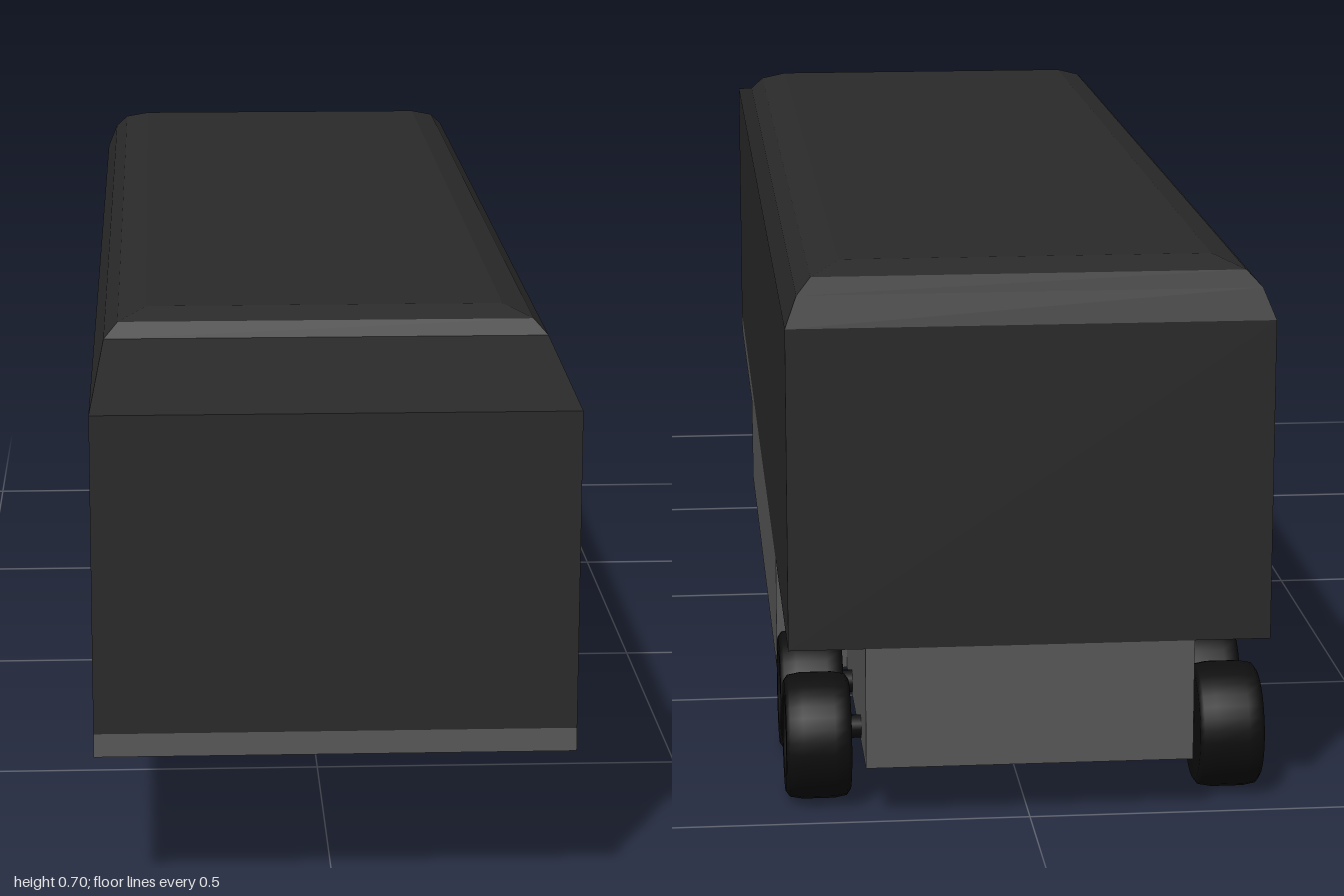
import * as THREE from 'three';

const dark = new THREE.MeshStandardMaterial({ color: 0x2a2a2a });
const grey = new THREE.MeshStandardMaterial({ color: 0x595959 });
const black = new THREE.MeshStandardMaterial({ color: 0x0e0e0e });

function addMesh(parent, name, geometry, material) {
  const mesh = new THREE.Mesh(geometry, material);
  mesh.name = name;
  parent.add(mesh);
  return mesh;
}

// Stacks rectangular rings [y, half width, front z, back z] into a closed flat-faced solid
function loftRings(rings) {
  const corners = rings.map(([y, w, front, back]) => [
    [-w, y, front], [w, y, front], [w, y, back], [-w, y, back],
  ]);
  const pos = [];
  const quad = (a, b, c, d) => pos.push(...a, ...b, ...c, ...a, ...c, ...d);
  for (let i = 0; i < corners.length - 1; i++) {
    const lo = corners[i], hi = corners[i + 1];
    for (let k = 0; k < 4; k++) {
      const n = (k + 1) % 4;
      quad(lo[k], lo[n], hi[n], hi[k]);
    }
  }
  const bottom = corners[0], top = corners[corners.length - 1];
  quad(top[0], top[1], top[2], top[3]);
  quad(bottom[3], bottom[2], bottom[1], bottom[0]);
  const geometry = new THREE.BufferGeometry();
  geometry.setAttribute('position', new THREE.Float32BufferAttribute(pos, 3));
  geometry.computeVertexNormals();
  return geometry;
}

// Side profile in (z, y), extruded across the full width
function extrudeAcross(points, width) {
  const shape = new THREE.Shape(points.map(([z, y]) => new THREE.Vector2(-z, y)));
  const geometry = new THREE.ExtrudeGeometry(shape, { depth: width, bevelEnabled: false });
  geometry.translate(0, 0, -width / 2);
  geometry.rotateY(Math.PI / 2);
  return geometry;
}

// Wheel with its outer face towards +x
function createWheel() {
  const wheel = new THREE.Group();
  const profile = [
    [0, -0.041], [0.07, -0.041], [0.077, -0.036], [0.08, -0.02], [0.08, 0.02],
    [0.077, 0.036], [0.07, 0.041], [0.052, 0.041], [0.048, 0.034],
  ].map(([r, h]) => new THREE.Vector2(r, h));
  const tyre = new THREE.LatheGeometry(profile, 32);
  tyre.rotateZ(-Math.PI / 2);
  addMesh(wheel, 'tyre', tyre, black);
  const hub = new THREE.CircleGeometry(0.049, 32);
  hub.rotateY(Math.PI / 2);
  hub.translate(0.034, 0, 0);
  addMesh(wheel, 'hub', hub, grey);
  return wheel;
}

export function createModel() {
  const model = new THREE.Group();
  model.name = 'trailer';

  // Cargo body with sloped nose and chamfered roof
  addMesh(model, 'cargoBody', loftRings([
    [0.225, 0.3, 1, -1],
    [0.63, 0.3, 1, -1],
    [0.668, 0.285, 0.745, -0.985],
    [0.687, 0.267, 0.73, -0.967],
    [0.7, 0.23, 0.695, -0.925],
  ]), dark);

  // Full-width skirt: shallow under the nose, deep amidships
  addMesh(model, 'skirt', extrudeAcross([
    [1, 0.225], [1, 0.195], [0.45, 0.195], [0.435, 0.07], [-0.59, 0.07], [-0.59, 0.225],
  ], 0.6), grey);

  // Narrow chassis between the wheels
  const chassis = addMesh(model, 'rearChassis', new THREE.BoxGeometry(0.41, 0.155, 0.41), grey);
  chassis.position.set(0, 0.1475, -0.795);

  // Dark floor under skirt and chassis
  [['skirtFloor', 0.6, 1.025, -0.0775], ['chassisFloor', 0.41, 0.41, -0.795]]
    .forEach(([name, width, length, z]) => {
      const floor = new THREE.PlaneGeometry(width, length);
      floor.rotateX(Math.PI / 2);
      addMesh(model, name, floor, black).position.set(0, 0.069, z);
    });

  // Two axles, one wheel on each side
  for (const z of [-0.71, -0.895]) {
    for (const side of [1, -1]) {
      const wheel = createWheel();
      wheel.name = side > 0 ? 'leftWheel' : 'rightWheel';
      wheel.position.set(side * 0.261, 0.08, z);
      if (side < 0) wheel.rotation.y = Math.PI;
      model.add(wheel);
    }
    const axle = new THREE.CylinderGeometry(0.015, 0.015, 0.46, 12);
    axle.rotateZ(Math.PI / 2);
    addMesh(model, 'axle', axle, black).position.set(0, 0.09, z);
  }

  return model;
}
